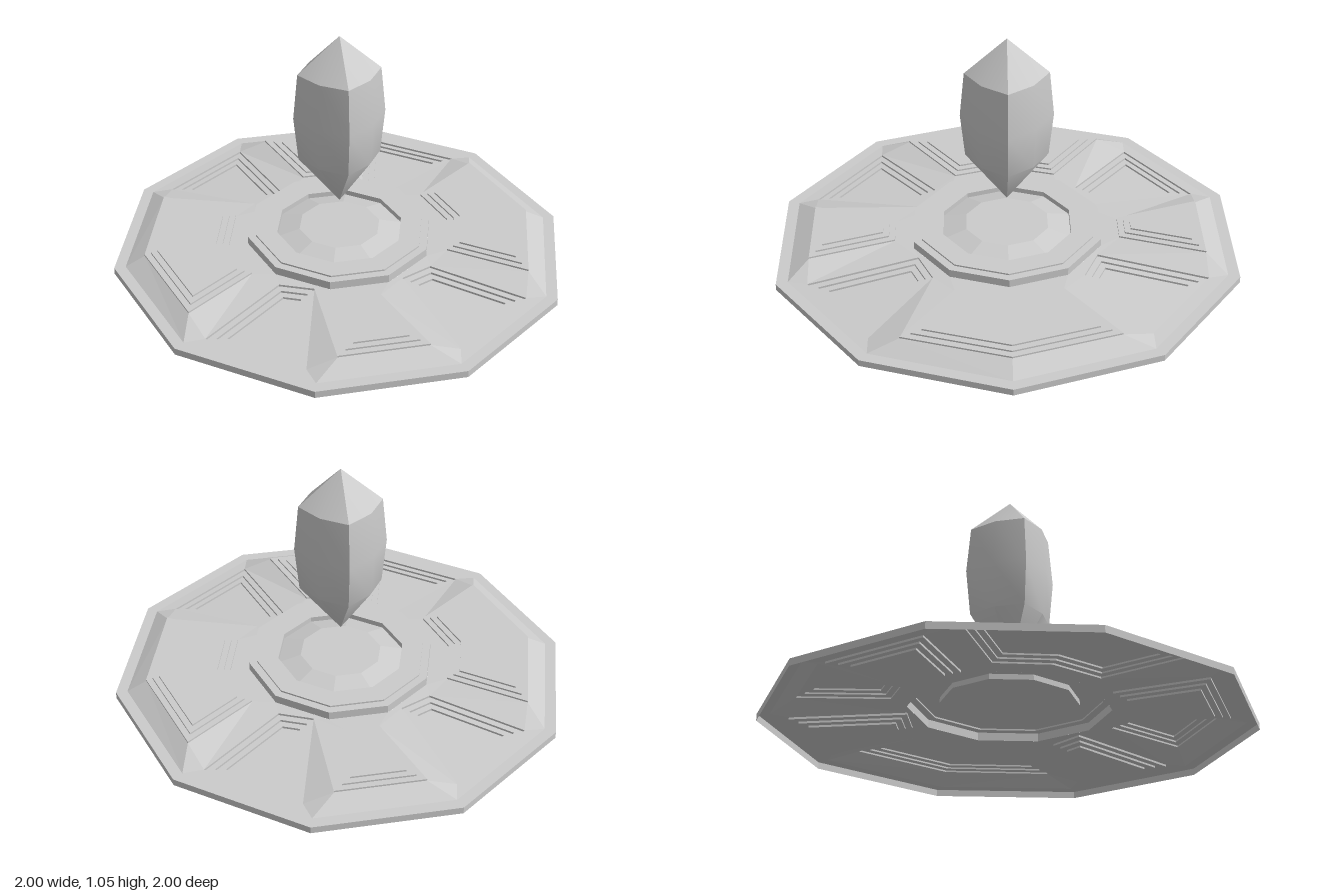
import * as THREE from 'three';
import { toCreasedNormals } from 'three/addons/utils/BufferGeometryUtils.js';

const { ShapeUtils, Vector2 } = THREE;
const shell = new THREE.MeshStandardMaterial({ color: 0xcccccc, flatShading: true, side: THREE.DoubleSide });
const PLATE_Y = 0.075, RIM_Y = 0.03;

// Ten-sided outline in (x, z), stretched so depth equals width
function decagon(r) {
  return Array.from({ length: 10 }, (_, i) => {
    const a = (i * Math.PI) / 5;
    return new Vector2(r * Math.cos(a), (r * Math.sin(a)) / Math.sin(Math.PI * 0.4));
  });
}

// Slope of the disc from the rim up to the ring, along the diagonals
function slope(x, z) {
  const s = 0.607 * Math.abs(x) + 0.795 * Math.abs(z);
  return RIM_Y + ((PLATE_Y - RIM_Y) * (0.933 - s)) / 0.53;
}

// Moves every edge of a counter-clockwise outline inwards by d
function inset(pts, d) {
  const n = pts.length;
  return pts.map((p, i) => {
    const u = p.clone().sub(pts[(i + n - 1) % n]).normalize();
    const v = pts[(i + 1) % n].clone().sub(p).normalize();
    const k = d / (1 + u.dot(v));
    return new Vector2(p.x - (u.y + v.y) * k, p.y + (u.x + v.x) * k);
  });
}

function meshFrom(name, pos, index) {
  const g = new THREE.BufferGeometry();
  g.setAttribute('position', new THREE.Float32BufferAttribute(pos, 3));
  g.setIndex(index);
  const flat = g.toNonIndexed();
  flat.computeVertexNormals();
  const mesh = new THREE.Mesh(flat, shell);
  mesh.name = name;
  return mesh;
}

// Joins a stack of [outline, height above ground] levels, closing the last one if capped
function loft(name, levels, capped, ground = () => 0) {
  const pos = [], index = [], n = levels[0][0].length;
  for (const [pts, y] of levels) for (const p of pts) pos.push(p.x, y + ground(p.x, p.y), p.y);
  for (let l = 0; l < levels.length - 1; l++) {
    for (let i = 0; i < n; i++) {
      const a = l * n + i, b = l * n + ((i + 1) % n);
      index.push(a, a + n, b, b, a + n, b + n);
    }
  }
  if (capped) {
    const base = (levels.length - 1) * n;
    for (const [a, b, c] of ShapeUtils.triangulateShape(levels[levels.length - 1][0], [])) {
      index.push(base + a, base + c, base + b);
    }
  }
  return meshFrom(name, pos, index);
}

// Mirrors an outline and keeps it counter-clockwise
function outline(coords, sx, sz) {
  const pts = coords.map(([x, z]) => new Vector2(x * sx, z * sz));
  return ShapeUtils.area(pts) < 0 ? pts.reverse() : pts;
}

// Corners of one quarter of the disc: rim R, side panel S, diagonal panel D, end panel E, ring G
const corner = {
  R0: [0.95, 0], R1: [0.769, 0.587], R2: [0.294, 0.95], R3: [0, 0.95],
  S0: [0.495, 0], S1: [0.43, 0.23], S2: [0.73, 0.455], S3: [0.865, 0],
  D0: [0.33, 0.325], D1: [0.68, 0.586], D2: [0.316, 0.864], D3: [0.19, 0.39],
  E0: [0, 0.495], E1: [0.07, 0.495], E2: [0.19, 0.865], E3: [0, 0.865],
  G0: [0.41, 0], G1: [0.332, 0.253], G2: [0.127, 0.41], G3: [0, 0.41],
};
const plateFaces = [
  'R0 S3 S2 R1', 'S2 S1 D0 D1', 'R1 S2 D1', 'R1 D1 D2 R2', 'R2 D2 E2', 'D2 D3 E1 E2',
  'R2 E2 E3 R3', 'S1 S0 G0 G1', 'S1 G1 D0', 'D0 G1 G2 D3', 'D3 G2 E1', 'E1 G2 G3 E0',
];

// Faceted plate around the panels, one quarter mirrored four ways
function createPlate() {
  const pos = [], index = [];
  for (const sx of [1, -1]) for (const sz of [1, -1]) {
    for (const face of plateFaces) {
      const names = face.split(' ');
      if (sx * sz < 0) names.reverse();
      const first = pos.length / 3;
      for (const name of names) {
        const [x, z] = corner[name];
        const y = { R: RIM_Y, D: slope(x, z) }[name[0]] ?? PLATE_Y;
        pos.push(x * sx, y, z * sz);
      }
      for (let i = 2; i < names.length; i++) index.push(first, first + i - 1, first + i);
    }
  }
  return meshFrom('plate', pos, index);
}

// Crystal with a rounded square section: sharp edges on the axes, soft ones between
function createCrystal() {
  const profile = [[0, 0.25], [0.18, 0.48], [0.2, 0.68], [0.18, 0.885], [0, 1.048]];
  const g = new THREE.LatheGeometry(profile.map(([r, y]) => new Vector2(r, y)), 8);
  const p = g.attributes.position;
  for (let i = 0; i < p.count; i++) {
    const k = Math.floor(i / profile.length) % 2 ? 0.85 : 1;
    p.setXYZ(i, p.getX(i) * k, p.getY(i), p.getZ(i) * k);
  }
  const mesh = new THREE.Mesh(toCreasedNormals(g, 0.5), new THREE.MeshStandardMaterial({ color: 0xcccccc }));
  mesh.name = 'crystal';
  return mesh;
}

export function createModel() {
  const model = new THREE.Group();

  // Outer rim and plate
  model.add(loft('rim', [[decagon(1), 0], [decagon(1), RIM_Y], [decagon(0.95), RIM_Y]], false));
  model.add(createPlate());

  // Raised stepped panels at the sides and ends, sunken stepped panels on the diagonals
  const { S0, S1, S2, S3, D0, D1, D2, D3, E1, E2 } = corner;
  const flipZ = ([x, z]) => [x, -z], flipX = ([x, z]) => [-x, z];
  const side = [S0, flipZ(S1), flipZ(S2), S3, S2, S1];
  const end = [flipX(E1), E1, E2, flipX(E2)];
  const addPanel = (name, pts, ground, step) => {
    const mid = inset(pts, 0.027), inner = inset(pts, 0.054);
    model.add(loft(name, [
      [pts, 0], [pts, step], [mid, step], [mid, 2 * step], [inner, 2 * step], [inner, 3 * step],
    ], true, ground));
  };
  for (const s of [1, -1]) {
    addPanel('sidePanel', outline(side, s, 1), () => PLATE_Y, 0.0073);
    addPanel('endPanel', outline(end, 1, s), () => PLATE_Y, 0.0073);
    for (const t of [1, -1]) addPanel('diagonalPanel', outline([D0, D1, D2, D3], s, t), slope, -0.009);
  }

  // Raised central ring and the low dome inside it
  const ring = [[0.41, PLATE_Y], [0.41, 0.111], [0.375, 0.111], [0.375, 0.118], [0.28, 0.118], [0.28, 0.095]];
  model.add(loft('centralRing', ring.map(([r, y]) => [decagon(r), y]), false));
  model.add(loft('centralDome', [[decagon(0.28), 0.095], [decagon(0.18), 0.123]], true));

  model.add(createCrystal());
  return model;
}
